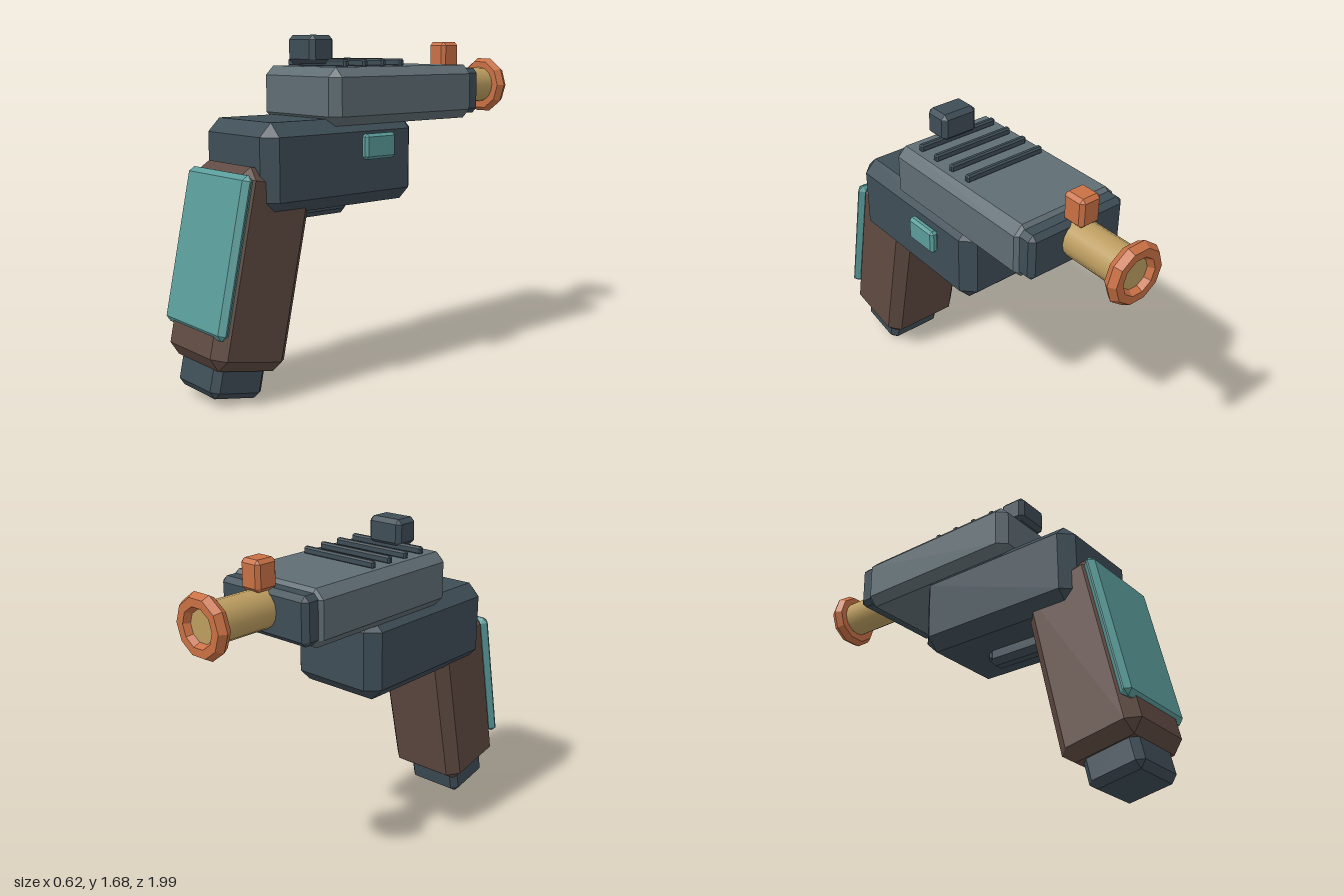
import * as THREE from 'three';
import { ConvexGeometry } from 'three/addons/geometries/ConvexGeometry.js';

const paint = (color) => new THREE.MeshStandardMaterial({ color, flatShading: true });

// Box with every edge cut at 45 degrees
function chamferBox(w, h, d, c) {
  const points = [];
  const [x, y, z] = [w / 2, h / 2, d / 2];
  for (const sx of [-1, 1]) for (const sy of [-1, 1]) for (const sz of [-1, 1]) {
    points.push(
      new THREE.Vector3(sx * x, sy * (y - c), sz * (z - c)),
      new THREE.Vector3(sx * (x - c), sy * y, sz * (z - c)),
      new THREE.Vector3(sx * (x - c), sy * (y - c), sz * z));
  }
  return new ConvexGeometry(points);
}

export function createModel() {
  const group = new THREE.Group();
  const steel = paint(0x5f6d73), dark = paint(0x3e4d56), brown = paint(0x5f4a42);
  const teal = paint(0x5a9c9a), orange = paint(0xc87044);
  const brass = new THREE.MeshStandardMaterial({ color: 0xbc9d60 });
  const midX = -0.022;

  const add = (parent, name, geometry, material, x, y, z) => {
    const mesh = new THREE.Mesh(geometry, material);
    mesh.name = name;
    mesh.position.set(x, y, z);
    parent.add(mesh);
    return mesh;
  };
  // Chamfered part given by its extents [min, max]
  const block = (parent, name, material, [x0, x1], [y0, y1], [z0, z1], c) =>
    add(parent, name, chamferBox(x1 - x0, y1 - y0, z1 - z0, c), material,
      (x0 + x1) / 2, (y0 + y1) / 2, (z0 + z1) / 2);

  // Upper and lower body
  block(group, 'slide', steel, [-0.312, 0.268], [1.26, 1.533], [-0.58, 0.37], 0.045);
  block(group, 'muzzleBlock', dark, [-0.295, 0.25], [1.283, 1.515], [-0.632, -0.45], 0.025);
  block(group, 'frame', dark, [-0.295, 0.25], [0.873, 1.293], [-0.18, 0.735], 0.063);

  // Ridges across the top of the slide
  for (let i = 0; i < 4; i++) {
    const z = 0.237 - i * 0.1185;
    block(group, 'slideRidge', dark, [-0.245, 0.2], [1.53, 1.568], [z - 0.015, z + 0.015], 0.008);
  }

  // Sights
  block(group, 'rearSight', dark, [-0.122, 0.078], [1.545, 1.682], [0.208, 0.35], 0.022);
  block(group, 'frontSight', orange, [-0.08, 0.036], [1.505, 1.65], [-0.7, -0.577], 0.018);

  // Barrel and muzzle ring
  add(group, 'barrel', new THREE.CylinderGeometry(0.095, 0.095, 0.41, 16), brass, midX, 1.415, -0.765)
    .rotation.x = -Math.PI / 2;
  add(group, 'muzzleRing', new THREE.TorusGeometry(0.114, 0.04, 6, 10), orange, midX, 1.413, -0.965);

  // Side button and the trigger under the frame
  block(group, 'sideButton', teal, [0.264, 0.309], [1.1, 1.222], [0.018, 0.21], 0.014);
  block(group, 'triggerGuard', dark, [-0.072, 0.028], [0.8, 0.9], [0.085, 0.52], 0.028);
  block(group, 'trigger', dark, [-0.057, 0.013], [0.828, 0.9], [0.066, 0.16], 0.018);

  // Slanted grip with its back panel and foot
  const handle = new THREE.Group();
  handle.name = 'handle';
  handle.position.set(midX, 0.613, 0.707);
  handle.rotation.x = -0.21;
  group.add(handle);
  block(handle, 'grip', brown, [-0.228, 0.228], [-0.464, 0.464], [-0.207, 0.207], 0.056);
  block(handle, 'backPanel', teal, [-0.246, 0.246], [-0.317, 0.425], [0.163, 0.22], 0.025);
  block(handle, 'gripFoot', dark, [-0.163, 0.163], [-0.601, -0.41], [-0.132, 0.152], 0.032);

  return group;
}
